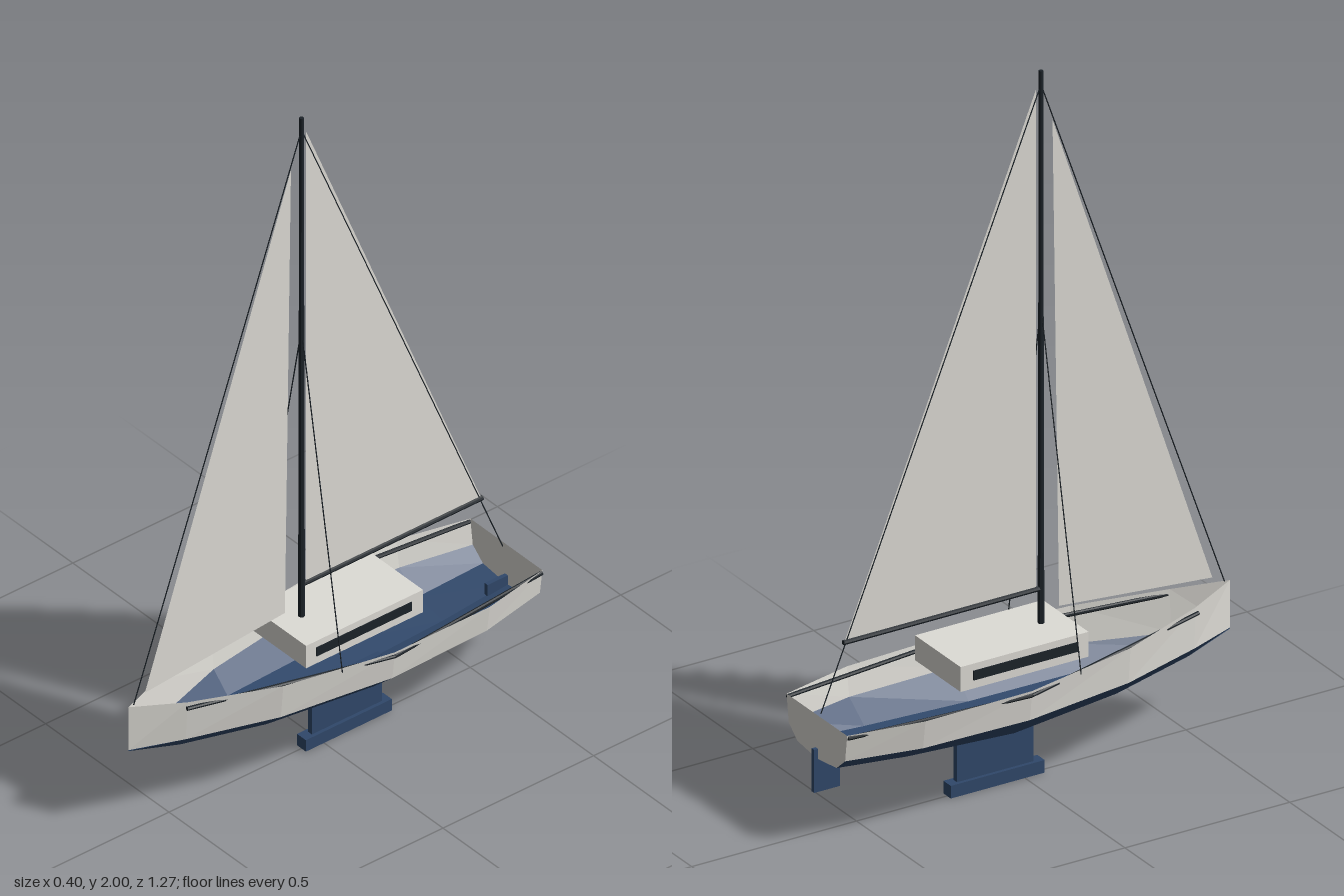
import * as THREE from 'three';

const paint = (name, color, side = THREE.FrontSide) => {
  const m = new THREE.MeshStandardMaterial({ color, side, flatShading: true });
  m.name = name;
  return m;
};

export function createModel() {
  const cream = paint('cream', 0xdedcd6);
  const creamShell = paint('cream shell', 0xdedcd6, THREE.DoubleSide);
  const blue = paint('navy', 0x30486a);
  const blueShell = paint('navy shell', 0x30486a, THREE.DoubleSide);
  const dark = paint('charcoal', 0x1c2329);

  const model = new THREE.Group();
  model.name = 'sailboat';
  const add = (name, geometry, material) => {
    const mesh = new THREE.Mesh(geometry, material);
    mesh.name = name;
    model.add(mesh);
    return mesh;
  };
  // Box given by its limits on each axis
  const box = (name, [x0, x1], [y0, y1], [z0, z1], material) =>
    add(name, new THREE.BoxGeometry(x1 - x0, y1 - y0, z1 - z0), material)
      .position.set((x0 + x1) / 2, (y0 + y1) / 2, (z0 + z1) / 2);
  // Round bar between two points
  const bar = (name, from, to, r0, r1 = r0, sides = 8) => {
    const a = new THREE.Vector3(...from), b = new THREE.Vector3(...to);
    const dir = b.clone().sub(a);
    const mesh = add(name, new THREE.CylinderGeometry(r1, r0, dir.length(), sides), dark);
    mesh.position.copy(a).add(b).multiplyScalar(0.5);
    mesh.quaternion.setFromUnitVectors(new THREE.Vector3(0, 1, 0), dir.normalize());
  };
  const surface = (name, points, material) => {
    const g = new THREE.BufferGeometry();
    g.setAttribute('position', new THREE.Float32BufferAttribute(points.flat(), 3));
    g.computeVertexNormals();
    return add(name, g, material);
  };

  // Hull stations: z, sheer x, sheer y, waterline x, bilge x, bilge y, keel y
  const stations = [
    [-0.62, 0.146, 0.335, 0.136, 0.095, 0.222, 0.21],
    [-0.41, 0.19, 0.34, 0.178, 0.105, 0.205, 0.19],
    [-0.09, 0.196, 0.346, 0.185, 0.11, 0.19, 0.176],
    [0.24, 0.146, 0.362, 0.136, 0.08, 0.205, 0.188],
    [0.49, 0.063, 0.379, 0.056, 0.032, 0.228, 0.218],
    [0.634, 0, 0.394, 0, 0, 0.255, 0.255],
  ];
  const sections = stations.map(([z, sx, sy, wx, bx, by, ky]) => {
    const half = [[sx, sy, z], [wx, 0.258, z], [bx, by, z]];
    return [...half, [0, ky, z], ...half.map(([x, y]) => [-x, y, z]).reverse()];
  });
  const skin = (columns) => {
    const points = [];
    for (let i = 0; i < sections.length - 1; i++) {
      for (const j of columns) {
        const a = sections[i][j], b = sections[i][j + 1];
        const c = sections[i + 1][j + 1], d = sections[i + 1][j];
        points.push(a, d, c, a, c, b);
      }
    }
    return points;
  };
  surface('topsides', skin([0, 5]), creamShell);
  surface('hullBottom', skin([1, 2, 3, 4]), blueShell);

  // Flat transom closing the stern
  const stern = sections[0], fan = [];
  for (let j = 1; j < stern.length - 1; j++) fan.push(stern[0], stern[j], stern[j + 1]);
  surface('transom', fan, creamShell);

  // Rub rails, run in two straight lengths on each side
  for (const s of [1, -1]) {
    const side = s > 0 ? 'left' : 'right';
    bar(side + 'AftRail', [s * 0.146, 0.327, -0.618], [s * 0.195, 0.333, -0.09], 0.006);
    bar(side + 'ForwardRail', [s * 0.195, 0.333, -0.09], [s * 0.067, 0.363, 0.495], 0.006);
  }

  // Keel, ballast and rudder
  box('keelFin', [-0.008, 0.008], [0.03, 0.185], [-0.2, 0.032], blue);
  box('keelBallast', [-0.018, 0.018], [0, 0.036], [-0.225, 0.06], blue);
  box('rudder', [-0.006, 0.006], [0.117, 0.24], [-0.632, -0.553], blue);

  // Cabin with a long window on each side
  box('cabin', [-0.11, 0.11], [0.35, 0.421], [-0.253, 0.135], cream);
  for (const s of [1, -1]) {
    const x = s * 0.111;
    box((s > 0 ? 'left' : 'right') + 'Window', [x - 0.002, x + 0.002], [0.374, 0.401], [-0.215, 0.102], dark);
  }

  // Spars
  bar('mast', [0, 0.35, 0.06], [0, 2, 0.06], 0.009, 0.006);
  bar('boom', [0, 0.52, 0.06], [0, 0.52, -0.54], 0.007);

  // Sails
  surface('mainsail', [[0, 1.95, 0.045], [0, 0.525, 0.045], [0, 0.525, -0.535]], creamShell);
  surface('jib', [[0, 1.85, 0.095], [0, 0.415, 0.58], [0, 0.455, 0.115]], creamShell);

  // Standing rigging
  bar('forestay', [0, 1.96, 0.06], [0, 0.394, 0.617], 0.0017, 0.0017, 5);
  bar('backstay', [0, 1.96, 0.06], [0, 0.335, -0.608], 0.0017, 0.0017, 5);
  for (const s of [1, -1]) {
    bar(s > 0 ? 'leftShroud' : 'rightShroud', [0, 1.33, 0.06], [s * 0.178, 0.345, 0.07], 0.0017, 0.0017, 5);
  }
  return model;
}
